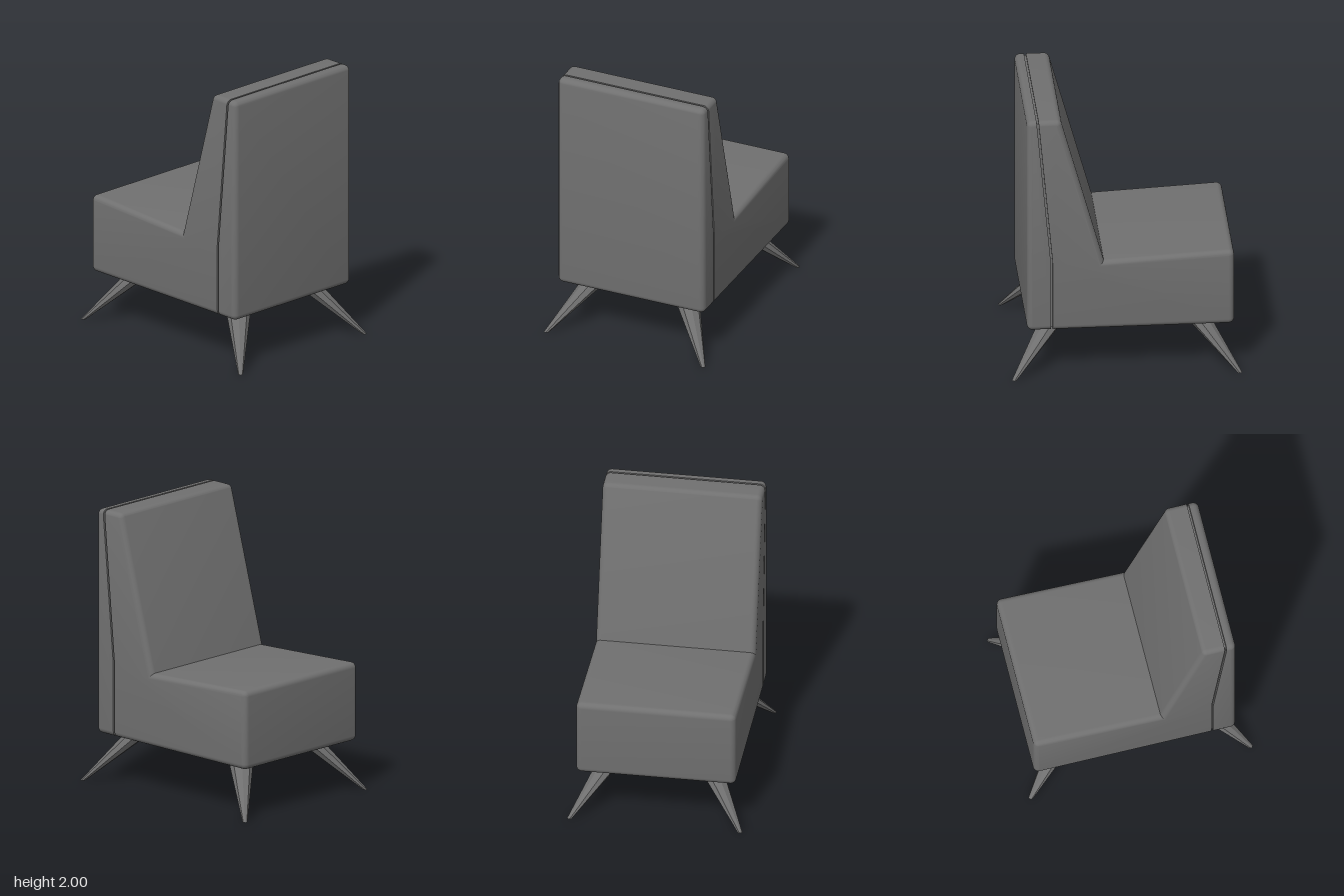
import * as THREE from 'three';
import { toCreasedNormals } from 'three/addons/utils/BufferGeometryUtils.js';

const R = 0.04;     // edge rounding
const HALF = 0.57;  // half width of the upholstery
const SEGS = 8;
const material = new THREE.MeshStandardMaterial({ color: 0x707070, side: THREE.DoubleSide });

// Outline inset by t; seam edges stay put, corners between soft edges are rounded.
function outline(points, seams, t) {
  const n = points.length;
  const out = [];
  const normals = points.map((p, i) => {
    const q = points[(i + 1) % n];
    return new THREE.Vector2(p[1] - q[1], q[0] - p[0]).normalize(); // inward
  });
  for (let i = 0; i < n; i++) {
    const h = (i + n - 1) % n;
    const a = normals[h], b = normals[i];
    const inset = (da, db) => {
      const det = a.x * b.y - a.y * b.x;
      return [points[i][0] + (da * b.y - db * a.y) / det, points[i][1] + (db * a.x - da * b.x) / det];
    };
    const softA = !seams.includes(h), softB = !seams.includes(i);
    const turn = Math.atan2(a.cross(b), a.dot(b));
    if (softA && softB && turn > 0) {
      const [cx, cy] = inset(R, R);
      const start = Math.atan2(-a.y, -a.x);
      for (let k = 0; k <= SEGS; k++) {
        const ang = start + turn * k / SEGS;
        out.push(new THREE.Vector2(cx + (R - t) * Math.cos(ang), cy + (R - t) * Math.sin(ang)));
      }
    } else {
      out.push(new THREE.Vector2(...inset(softA ? t : 0, softB ? t : 0)));
    }
  }
  return out;
}

// Stack inset outlines across z to make a padded block with rounded sides.
function cushion(name, points, seams) {
  const layers = [];
  for (let k = 0; k <= SEGS; k++) {
    const a = (k / SEGS) * Math.PI / 2;
    layers.push({ z: HALF - R + R * Math.sin(a), t: R * (1 - Math.cos(a)) });
  }
  const all = [...layers.map(l => ({ z: -l.z, t: l.t })).reverse(), ...layers];
  const rings = all.map(l => outline(points, seams, l.t));
  const m = rings[0].length;
  const position = rings.flatMap((ring, j) => ring.flatMap(p => [p.x, p.y, all[j].z]));
  const index = [];
  for (let j = 0; j < rings.length - 1; j++) {
    for (let i = 0; i < m; i++) {
      const a = j * m + i, b = j * m + (i + 1) % m;
      index.push(a, b, b + m, a, b + m, a + m);
    }
  }
  const last = (rings.length - 1) * m;
  for (const [a, b, c] of THREE.ShapeUtils.triangulateShape(rings[SEGS], [])) {
    index.push(last + a, last + b, last + c, c, b, a);
  }
  const geometry = new THREE.BufferGeometry();
  geometry.setAttribute('position', new THREE.Float32BufferAttribute(position, 3));
  geometry.setIndex(index);
  const mesh = new THREE.Mesh(toCreasedNormals(geometry, 0.3), material);
  mesh.name = name;
  return mesh;
}

// Splayed, tapered, faceted leg, wider across than deep, its foot cut level with the floor.
function leg(name, sx, sz) {
  const foot = new THREE.Vector3(0.797 * sx, 0, 0.607 * sz);
  const top = new THREE.Vector3(0.485 * sx, 0.385, 0.33 * sz);
  const dir = top.clone().sub(foot);
  const length = dir.length();
  dir.normalize();
  const geometry = new THREE.CylinderGeometry(0.066, 0.012, length, 8);
  geometry.translate(0, length / 2, 0);
  geometry.scale(1.45, 1, 1);
  geometry.rotateY(Math.atan2(dir.x, dir.z));
  geometry.applyQuaternion(new THREE.Quaternion().setFromUnitVectors(new THREE.Vector3(0, 1, 0), dir));
  geometry.translate(foot.x, foot.y, foot.z);
  const pos = geometry.attributes.position;
  const v = new THREE.Vector3();
  for (let i = 0; i < pos.count; i++) {
    v.fromBufferAttribute(pos, i);
    if (v.y < 0.1) v.addScaledVector(dir, -v.y / dir.y);
    pos.setXYZ(i, v.x, v.y, v.z);
  }
  const mesh = new THREE.Mesh(toCreasedNormals(geometry, 0.3), material);
  mesh.name = name;
  return mesh;
}

export function createModel() {
  const chair = new THREE.Group();
  chair.name = 'loungeChair';

  // Seat and front of the backrest in one piece
  chair.add(cushion('seatAndBackrest', [
    [-0.763, 0.36], [0.522, 0.36], [0.522, 0.89], [0.622, 2],
    [0.465, 2], [0.16, 0.89], [-0.763, 0.935],
  ], [1, 2]));

  // Rear panel behind the seam
  chair.add(cushion('backPanel', [
    [0.535, 0.36], [0.703, 0.36], [0.703, 2], [0.636, 2], [0.535, 0.89],
  ], [3, 4]));

  // Recessed filler at the bottom of the seam groove
  const seam = new THREE.Shape([
    [0.515, 0.38], [0.542, 0.38], [0.542, 0.89], [0.641, 1.98], [0.615, 1.98], [0.515, 0.89],
  ].map(p => new THREE.Vector2(...p)));
  const filler = new THREE.Mesh(
    new THREE.ExtrudeGeometry(seam, { depth: 2 * HALF - 0.04, bevelEnabled: false }), material);
  filler.position.z = -HALF + 0.02;
  filler.name = 'seamFiller';
  chair.add(filler);

  for (const [side, sz] of [['Front', 1], ['Rear', -1]]) {
    chair.add(leg(`right${side}Leg`, -1, sz), leg(`left${side}Leg`, 1, sz));
  }
  return chair;
}
